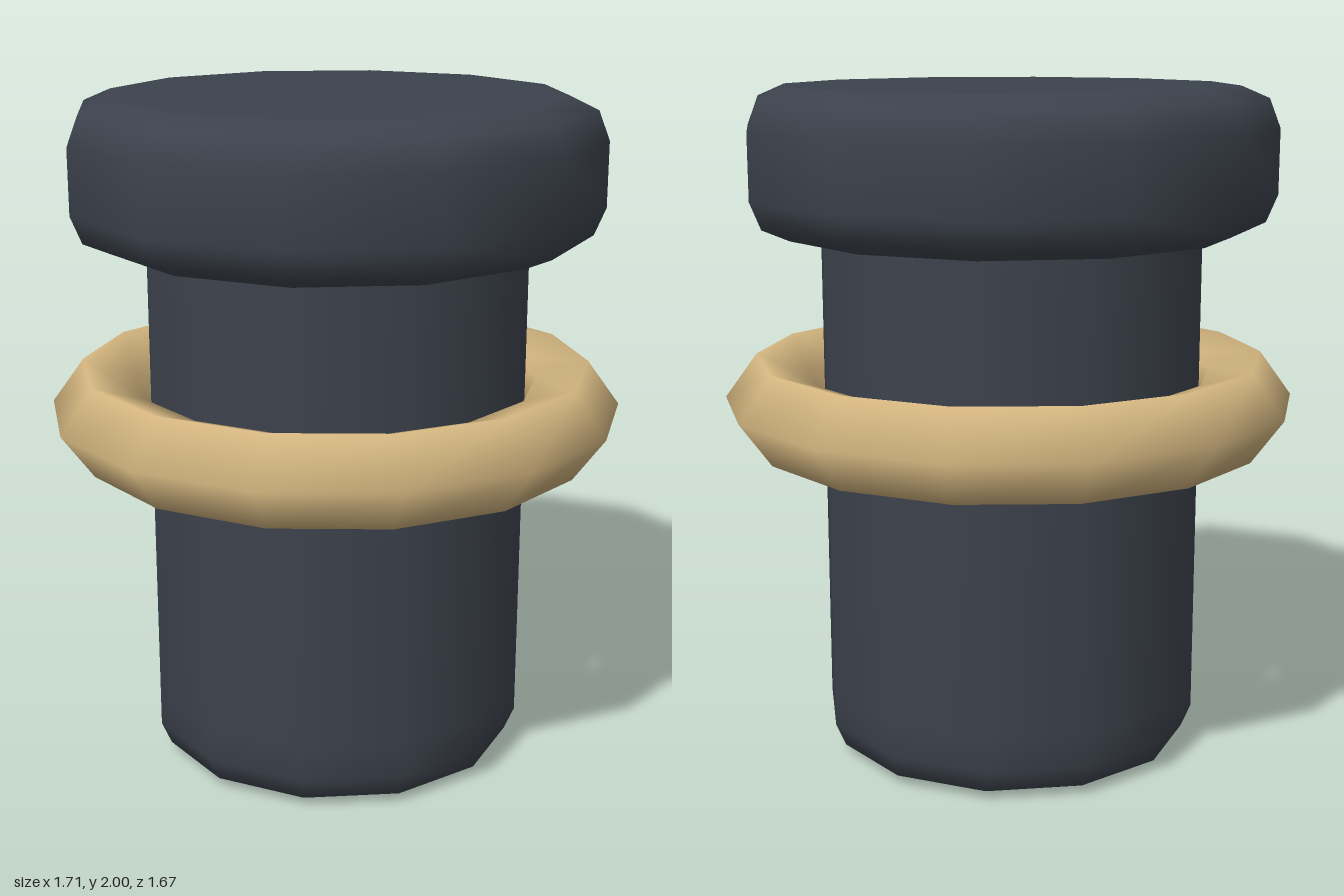
import * as THREE from 'three';

// Capped solid of revolution; the cap stays flat up to its rim
function turned(profile, sides, name, material) {
  const first = profile[0], last = profile[profile.length - 1];
  const points = [
    [0, first[1]], [first[0] - 0.03, first[1]],
    ...profile,
    [last[0] - 0.03, last[1]], [0, last[1]],
  ].map(([r, y]) => new THREE.Vector2(r, y));
  const mesh = new THREE.Mesh(new THREE.LatheGeometry(points, sides), material);
  mesh.name = name;
  return mesh;
}

export function createModel() {
  const group = new THREE.Group();
  group.name = 'plug';

  const dark = new THREE.MeshStandardMaterial({ color: 0x3c424c });
  dark.name = 'dark slate';
  const tan = new THREE.MeshStandardMaterial({ color: 0xd4b680 });
  tan.name = 'tan';

  // Shaft with a rounded lower edge, running up into the head
  group.add(turned([
    [0.47, 0], [0.54, 0.03], [0.57, 0.1], [0.57, 0.2], [0.57, 1.6],
  ], 12, 'shaft', dark));

  // Wide head, rounded above and below
  group.add(turned([
    [0.67, 1.575], [0.752, 1.61], [0.785, 1.69],
    [0.785, 1.88], [0.752, 1.965], [0.67, 2],
  ], 12, 'head', dark));

  // Loose ring around the shaft
  const ringShape = new THREE.TorusGeometry(0.716, 0.139, 5, 14);
  ringShape.rotateX(Math.PI / 2);
  const ring = new THREE.Mesh(ringShape, tan);
  ring.name = 'ring';
  ring.position.y = 1.075;
  group.add(ring);

  return group;
}
